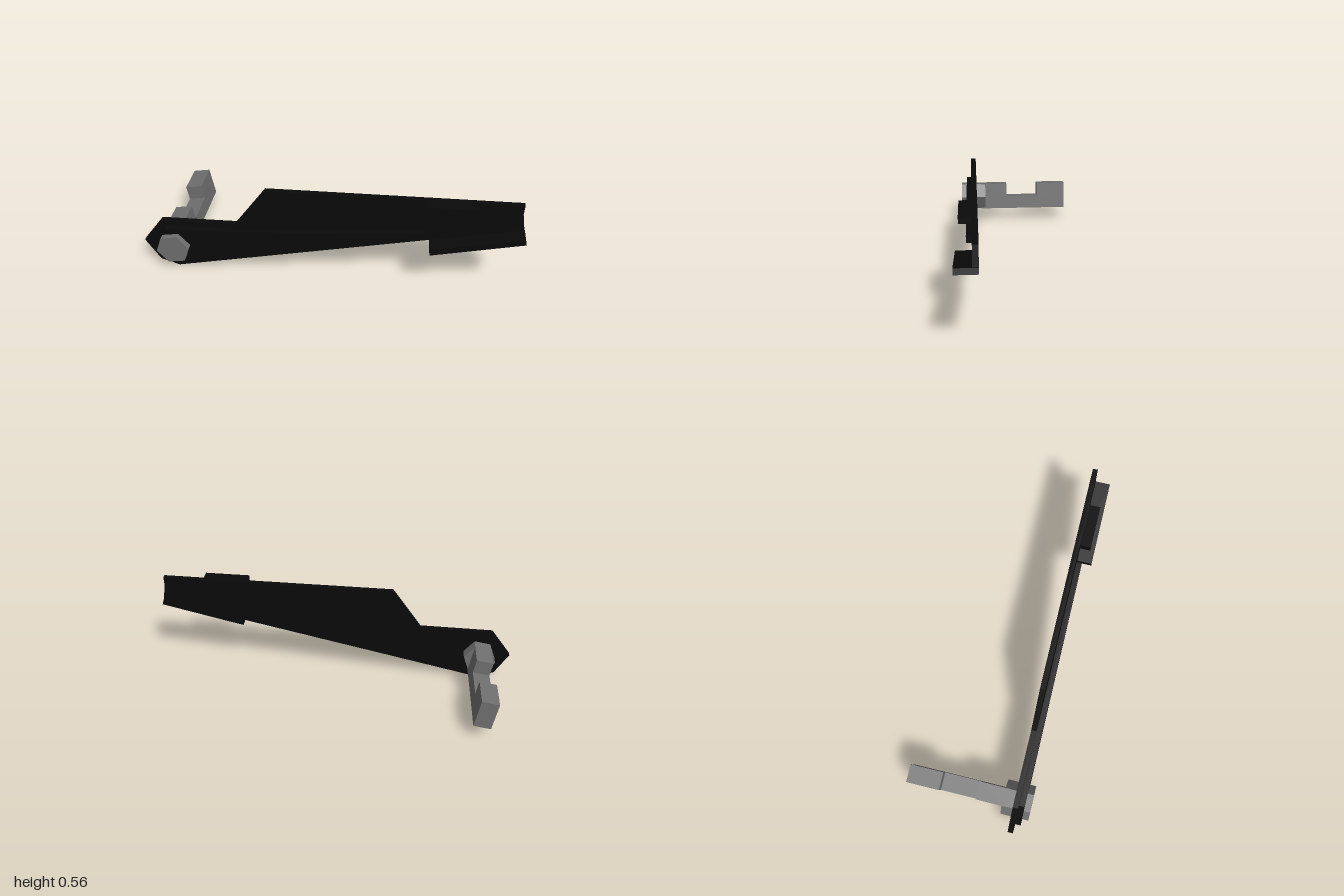
import * as THREE from 'three';

// Extrudes an outline in the xy plane between two depths
function slab(name, points, z0, z1, material) {
  const shape = new THREE.Shape(points.map(([x, y]) => new THREE.Vector2(x, y)));
  const geometry = new THREE.ExtrudeGeometry(shape, { depth: z1 - z0, bevelEnabled: false });
  geometry.translate(0, 0, z0);
  const mesh = new THREE.Mesh(geometry, material);
  mesh.name = name;
  return mesh;
}

export function createModel() {
  const black = new THREE.MeshStandardMaterial({ color: 0x0a0a0a, flatShading: true });
  black.name = 'black';
  const grey = new THREE.MeshStandardMaterial({ color: 0x707070, flatShading: true });
  grey.name = 'grey';

  const group = new THREE.Group();
  group.name = 'leverArm';

  // Main arm plate, with a stepped upper edge
  group.add(slab('armPlate', [
    [-1, 0.158], [-0.925, 0.035], [-0.825, 0], [0.99, 0.418],
    [0.973, 0.515], [0.975, 0.565], [-0.32, 0.538], [-0.484, 0.313], [-0.89, 0.302],
  ], 0.232, 0.26, black));

  // Raised strip that tapers along the lower edge
  group.add(slab('raisedRib', [
    [-0.952, 0.158], [-0.9, 0.062], [-0.82, 0.04], [0.49, 0.335],
    [0.49, 0.37], [-0.5, 0.28], [-0.87, 0.268],
  ], 0.26, 0.29, black));

  // Flanges on the lower and upper edges of the free end
  group.add(slab('lowerFlange', [
    [0.535, 0.276], [1, 0.39], [0.992, 0.418], [0.528, 0.312],
  ], 0.232, 0.343, black));
  group.add(slab('upperTab', [
    [0.5, 0.522], [0.75, 0.527], [0.75, 0.56], [0.5, 0.555],
  ], 0.26, 0.32, black));

  // Six-sided pivot pin through the arm
  const pin = [];
  for (let i = 0; i < 6; i++) {
    const a = THREE.MathUtils.degToRad(10 + i * 60);
    pin.push([-0.827 + 0.091 * Math.cos(a), 0.155 + 0.091 * Math.sin(a)]);
  }
  group.add(slab('pivotPin', pin, 0.172, 0.323, grey));

  // Tilted shaft behind the pin: a notched side profile swept across its width
  const profile = [
    [-0.34, 0], [0.2, 0], [0.2, 0.16], [0.035, 0.16],
    [0.035, 0.079], [-0.163, 0.079], [-0.163, 0.16], [-0.34, 0.16],
  ].map(([z, y]) => [-z, y]);
  const shaft = slab('notchedShaft', profile, 0, 0.094, grey);
  shaft.geometry.rotateY(Math.PI / 2);
  shaft.geometry.rotateZ(THREE.MathUtils.degToRad(10));
  shaft.geometry.translate(-0.859, 0.067, 0);
  group.add(shaft);

  return group;
}
